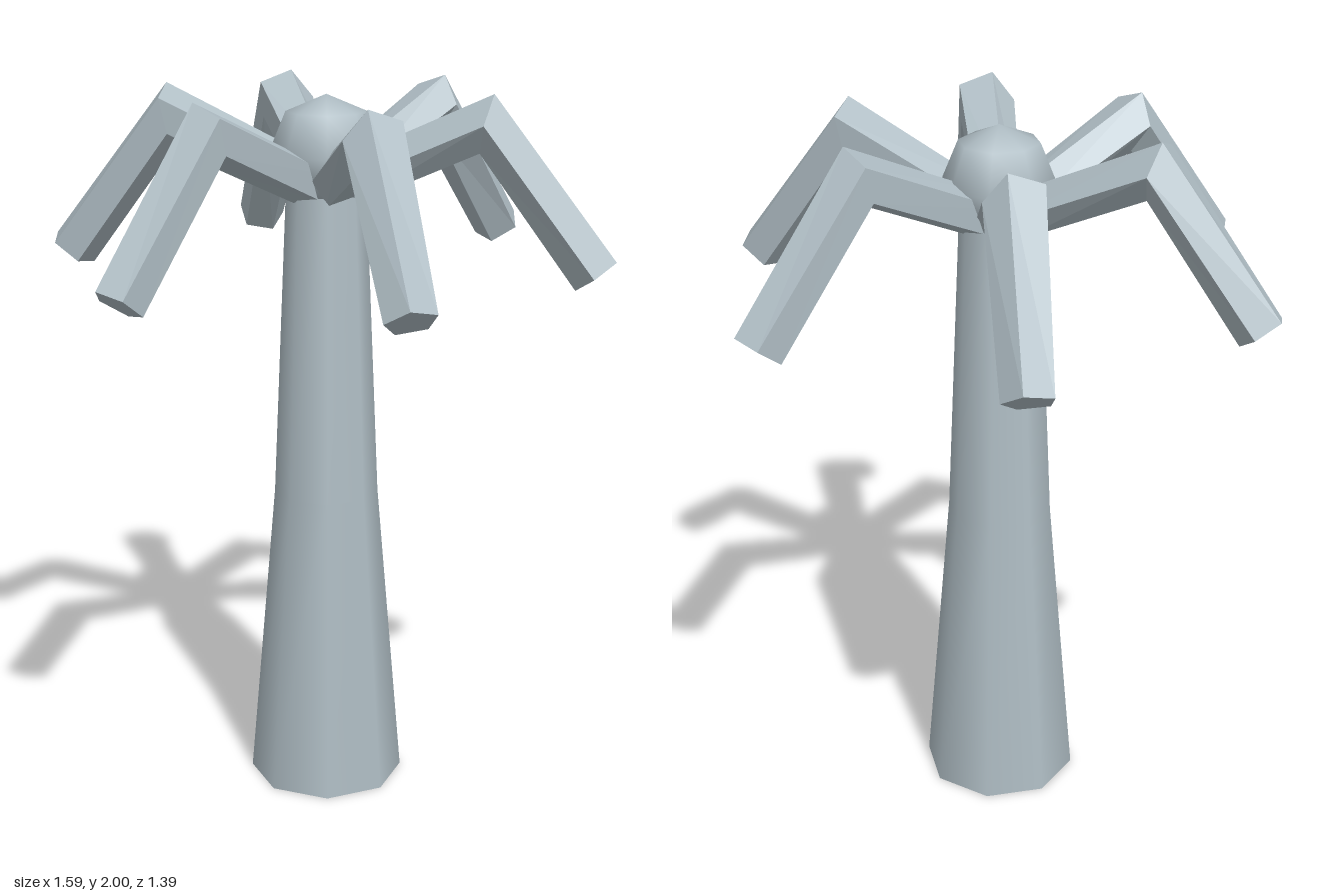
import * as THREE from 'three';

// Five-sided bent limb: a ring of corners around each joint, skinned and capped
function limbGeometry() {
  // x, y, radius, angle of the section's "up" direction from +x
  const joints = [
    [0.04, 1.74, 0.065, 1.99],
    [0.44, 1.922, 0.084, 1.35],
    [0.74, 1.53, 0.07, 0.65],
  ];
  const sides = 5, twist = 0.29;
  const positions = [], index = [];
  for (const [x, y, r, up] of joints) {
    for (let i = 0; i < sides; i++) {
      const a = twist + (i / sides) * Math.PI * 2;
      const h = Math.cos(a) * r;
      positions.push(x + h * Math.cos(up), y + h * Math.sin(up), Math.sin(a) * r);
    }
  }
  for (let j = 0; j < joints.length - 1; j++) {
    for (let i = 0; i < sides; i++) {
      const a = j * sides + i, b = j * sides + ((i + 1) % sides);
      index.push(a, b, a + sides, b, b + sides, a + sides);
    }
  }
  // End caps
  const last = (joints.length - 1) * sides;
  for (let i = 1; i < sides - 1; i++) {
    index.push(0, i + 1, i);
    index.push(last, last + i, last + i + 1);
  }
  const indexed = new THREE.BufferGeometry();
  indexed.setAttribute('position', new THREE.Float32BufferAttribute(positions, 3));
  indexed.setIndex(index);
  const geometry = indexed.toNonIndexed();
  geometry.computeVertexNormals();
  return geometry;
}

export function createModel() {
  const group = new THREE.Group();
  const smooth = new THREE.MeshStandardMaterial({ color: 0xb0bec5 });
  smooth.name = 'blueGrey';

  const add = (name, geometry) => {
    const mesh = new THREE.Mesh(geometry, smooth);
    mesh.name = name;
    group.add(mesh);
    return mesh;
  };

  // Tapering trunk, flared towards the foot
  const trunk = new THREE.CylinderGeometry(0.11, 0.22, 1.72, 8, 2);
  const p = trunk.attributes.position;
  for (let i = 0; i < p.count; i++) {
    if (Math.abs(p.getY(i)) < 0.01) {
      const s = 0.146 / Math.hypot(p.getX(i), p.getZ(i));
      p.setXYZ(i, p.getX(i) * s, 0.01, p.getZ(i) * s);
    }
  }
  trunk.translate(0, 0.86, 0);
  add('trunk', trunk);

  // Rounded crown
  add('crownBall', new THREE.SphereGeometry(0.155, 8, 4)).position.y = 1.83;

  // Six drooping limbs around the crown
  const limb = limbGeometry();
  for (let i = 0; i < 6; i++) {
    add('limb' + (i + 1), limb).rotation.y = (i * Math.PI) / 3;
  }
  return group;
}
